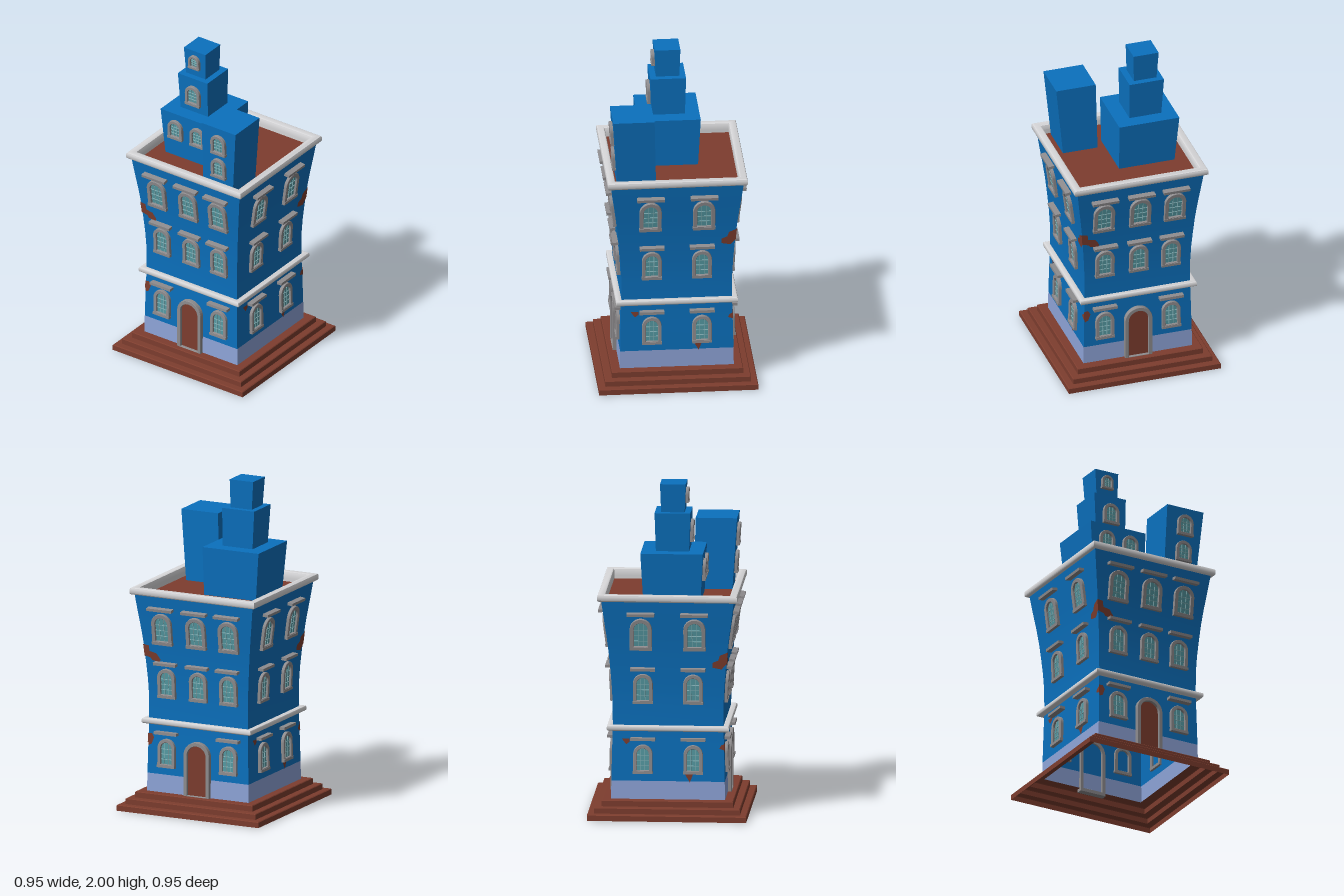
import * as THREE from 'three';
import { toCreasedNormals } from 'three/addons/utils/BufferGeometryUtils.js';

const mat = (name, color) => {
  const m = new THREE.MeshStandardMaterial({ color, side: THREE.DoubleSide });
  m.name = name;
  return m;
};

// wall half-width at chosen heights: [half, y]
const WALL = [[0.34, 0.11], [0.338, 0.22], [0.334, 0.4], [0.33, 0.55], [0.331, 0.7], [0.336, 0.8],
  [0.344, 0.9], [0.353, 1.0], [0.365, 1.1], [0.379, 1.2], [0.395, 1.32]];

function half(y) {
  for (let i = 1; i < WALL.length; i++) {
    const [h0, y0] = WALL[i - 1], [h1, y1] = WALL[i];
    if (y <= y1 || i === WALL.length - 1) return h0 + (h1 - h0) * (y - y0) / (y1 - y0);
  }
}
const lean = (y) => Math.atan((half(y + 0.05) - half(y - 0.05)) / 0.1);

export function createModel() {
  const root = new THREE.Group();
  root.name = 'tower house';
  const M = {
    blue: mat('blue paint', 0x0b70bd),
    plinth: mat('pale blue plinth', 0x8ea4d8),
    brown: mat('red brown', 0x7d3d2e),
    white: mat('white trim', 0xd6d6d8),
    grey: mat('grey stone', 0x8f8d8f),
    glass: mat('teal glass', 0x559aa3),
    bars: mat('pale glazing bars', 0x86b4ba),
  };

  const add = (parent, name, geo, material, x = 0, y = 0, z = 0) => {
    const mesh = new THREE.Mesh(geo, material);
    mesh.name = name;
    mesh.position.set(x, y, z);
    parent.add(mesh);
    return mesh;
  };

  // square shell from a [half, y] profile
  const squareLoft = (name, profile, material) => {
    const pts = profile.map(([h, y]) => new THREE.Vector2(h * Math.SQRT2, y));
    const geo = new THREE.LatheGeometry(pts, 4, Math.PI / 4);
    return add(root, name, toCreasedNormals(geo, 0.6), material);
  };

  // rounded square ring
  const ring = (name, h0, h1, y0, y1, material) => {
    const c = 0.009;
    squareLoft(name, [[h0, y0], [h1 - c, y0], [h1 - 0.002, y0 + c * 0.5], [h1, y0 + c], [h1, y1 - c],
      [h1 - 0.003, y1 - 0.003], [h1 - c, y1], [h0 + c, y1], [h0 + 0.003, y1 - 0.003], [h0, y1 - c], [h0, y0]], material);
  };

  const arch = (w, h, inset, P) => {
    const r = w / 2 - inset;
    const p = new P();
    p.moveTo(-r, inset);
    p.lineTo(r, inset);
    p.lineTo(r, h - w / 2);
    p.absarc(0, h - w / 2, r, 0, Math.PI, false);
    p.lineTo(-r, inset);
    return p;
  };

  const frame = (g, name, w, h, t, depth) => {
    const s = arch(w, h, 0, THREE.Shape);
    s.holes.push(arch(w, h, t, THREE.Path));
    const geo = new THREE.ExtrudeGeometry(s, { depth, curveSegments: 10, bevelEnabled: true,
      bevelThickness: 0.003, bevelSize: 0.002, bevelSegments: 1 });
    add(g, name, geo, M.grey, 0, 0, -0.01);
  };

  // arched window, origin at its middle on the wall surface
  const makeWindow = (parent, x, y, z, w, h, tilt) => {
    const outer = new THREE.Group();
    outer.name = 'window';
    outer.position.set(x, y, z);
    outer.rotation.x = tilt;
    parent.add(outer);
    const g = new THREE.Group();
    g.name = 'window parts';
    g.position.y = -h / 2;
    outer.add(g);
    const t = w * 0.16, iw = w - 2 * t;
    frame(g, 'windowFrame', w, h, t, 0.026);
    add(g, 'windowGlass', new THREE.ShapeGeometry(arch(w, h, t, THREE.Shape), 10), M.glass, 0, 0, 0.006);
    for (const k of [-1, 1])
      add(g, 'verticalBar', new THREE.BoxGeometry(0.003, h - 2.4 * t, 0.004), M.bars, k * iw / 6, h / 2, 0.008);
    for (let k = 1; k <= 3; k++)
      add(g, 'crossBar', new THREE.BoxGeometry(iw, 0.003, 0.004), M.bars, 0, t + (h - 2 * t) * k / 4.4, 0.008);
    add(g, 'windowSill', new THREE.BoxGeometry(w + 0.006, t * 0.9, 0.036), M.grey, 0, t * 0.4, 0.004);
  };

  // stepped base, open underneath
  squareLoft('steps', [[0.475, 0], [0.475, 0.032], [0.47, 0.036], [0.435, 0.037], [0.435, 0.068],
    [0.431, 0.072], [0.392, 0.073], [0.392, 0.106], [0.388, 0.11], [0.33, 0.11]], M.brown);

  // walls, trims and roof
  squareLoft('plinth', WALL.slice(0, 2), M.plinth);
  squareLoft('walls', WALL.slice(1), M.blue);
  ring('belt', 0.325, 0.364, 0.525, 0.558, M.white);
  ring('cornice', 0.37, 0.417, 1.318, 1.36, M.white);
  squareLoft('parapetInside', [[0.37, 1.29], [0.37, 1.33]], M.white);
  const roof = add(root, 'roof', new THREE.PlaneGeometry(0.75, 0.75), M.brown, 0, 1.3, 0);
  roof.rotation.x = -Math.PI / 2;

  // worn patch lying on a wall, clamped to the wall edge
  const patch = (side, points) => {
    const geo = new THREE.ShapeGeometry(new THREE.Shape(points.map(([x, y]) => new THREE.Vector2(x, y))));
    const p = geo.attributes.position;
    for (let i = 0; i < p.count; i++) {
      const h = half(p.getY(i)) + 0.003;
      p.setXYZ(i, THREE.MathUtils.clamp(p.getX(i), -h, h), p.getY(i), h);
    }
    geo.computeVertexNormals();
    add(side, 'wornPatch', geo, M.brown);
  };

  // window rows: y, width, height, ledge y, ledge width, front offset, side offset
  const ROWS = [
    [0.352, 0.112, 0.172, 0.475, 0.148, 0.207, 0.15],
    [0.78, 0.114, 0.178, 0.902, 0.148, 0.207, 0.15],
    [1.117, 0.128, 0.192, 1.242, 0.165, 0.222, 0.16],
  ];
  for (let s = 0; s < 4; s++) {
    const wide = s % 2 === 0;
    const side = new THREE.Group();
    side.name = ['frontSide', 'rightSide', 'backSide', 'leftSide'][s];
    side.rotation.y = s * Math.PI / 2;
    root.add(side);
    ROWS.forEach(([y, w, h, ly, lw, fx, sx], r) => {
      const xs = !wide ? [-sx, sx] : r === 0 ? [-fx, fx] : [-fx, 0.005, fx];
      for (const x of xs) {
        makeWindow(side, x, y, half(y), w, h, lean(y));
        const ledge = add(side, 'windowLedge', new THREE.BoxGeometry(lw, 0.017, 0.044), M.grey, x, ly, half(ly) + 0.013);
        ledge.rotation.x = lean(ly);
      }
    });

    if (wide) {
      // door in an arched surround
      const door = new THREE.Group();
      door.name = 'door';
      door.position.set(0, 0.092, 0.337);
      side.add(door);
      frame(door, 'doorFrame', 0.168, 0.35, 0.02, 0.032);
      add(door, 'doorPanel', new THREE.ShapeGeometry(arch(0.168, 0.35, 0.02, THREE.Shape), 10), M.brown, 0, 0, 0.008);
      patch(side, [[-0.4, 1.01], [-0.32, 1.005], [-0.315, 0.97], [-0.27, 0.96], [-0.245, 0.925],
        [-0.25, 0.908], [-0.3, 0.915], [-0.31, 0.93], [-0.4, 0.94]]);
      patch(side, [[-0.4, 0.46], [-0.31, 0.465], [-0.295, 0.44], [-0.31, 0.4], [-0.33, 0.39], [-0.4, 0.42]]);
    } else {
      patch(side, [[0.4, 1.01], [0.31, 0.99], [0.3, 0.96], [0.265, 0.945], [0.265, 0.915], [0.32, 0.905], [0.4, 0.94]]);
      patch(side, [[0.4, 0.45], [0.315, 0.44], [0.305, 0.42], [0.4, 0.41]]);
      patch(side, [[-0.275, 0.475], [-0.23, 0.475], [-0.23, 0.455], [-0.25, 0.44], [-0.265, 0.46]]);
      patch(side, [[0.1, 0.265], [0.15, 0.265], [0.14, 0.24], [0.13, 0.215], [0.115, 0.24]]);
    }
  }

  // roof blocks: [x0, x1, z0, z1] at the bottom and top, windows as [x, y, w, h]
  const block = (name, y0, y1, bot, top, windows) => {
    const geo = new THREE.BoxGeometry(1, 1, 1);
    const p = geo.attributes.position;
    for (let i = 0; i < p.count; i++) {
      const up = p.getY(i) > 0, b = up ? top : bot;
      p.setXYZ(i, p.getX(i) < 0 ? b[0] : b[1], up ? y1 : y0, p.getZ(i) < 0 ? b[2] : b[3]);
    }
    geo.computeVertexNormals();
    add(root, name, geo, M.blue);
    for (const [x, y, w, h] of windows) {
      const z = bot[3] + (top[3] - bot[3]) * (y - y0) / (y1 - y0);
      makeWindow(root, x, y, z, w, h, Math.atan((top[3] - bot[3]) / (y1 - y0)));
    }
  };
  block('lowerRoofBlock', 1.28, 1.595, [-0.29, 0.055, -0.15, 0.19], [-0.317, 0.058, -0.167, 0.205],
    [[-0.207, 1.488, 0.1, 0.125], [-0.047, 1.488, 0.1, 0.125]]);
  block('middleRoofBlock', 1.59, 1.828, [-0.232, -0.033, -0.08, 0.118], [-0.247, -0.032, -0.087, 0.126],
    [[-0.135, 1.71, 0.102, 0.128]]);
  block('upperRoofBlock', 1.825, 2, [-0.212, -0.07, -0.05, 0.09], [-0.224, -0.067, -0.056, 0.097],
    [[-0.145, 1.926, 0.074, 0.086]]);
  block('cornerRoofBlock', 1.28, 1.73, [0.1, 0.315, 0.122, 0.352], [0.108, 0.355, 0.134, 0.38],
    [[0.23, 1.618, 0.102, 0.13], [0.224, 1.45, 0.1, 0.128]]);

  return root;
}
